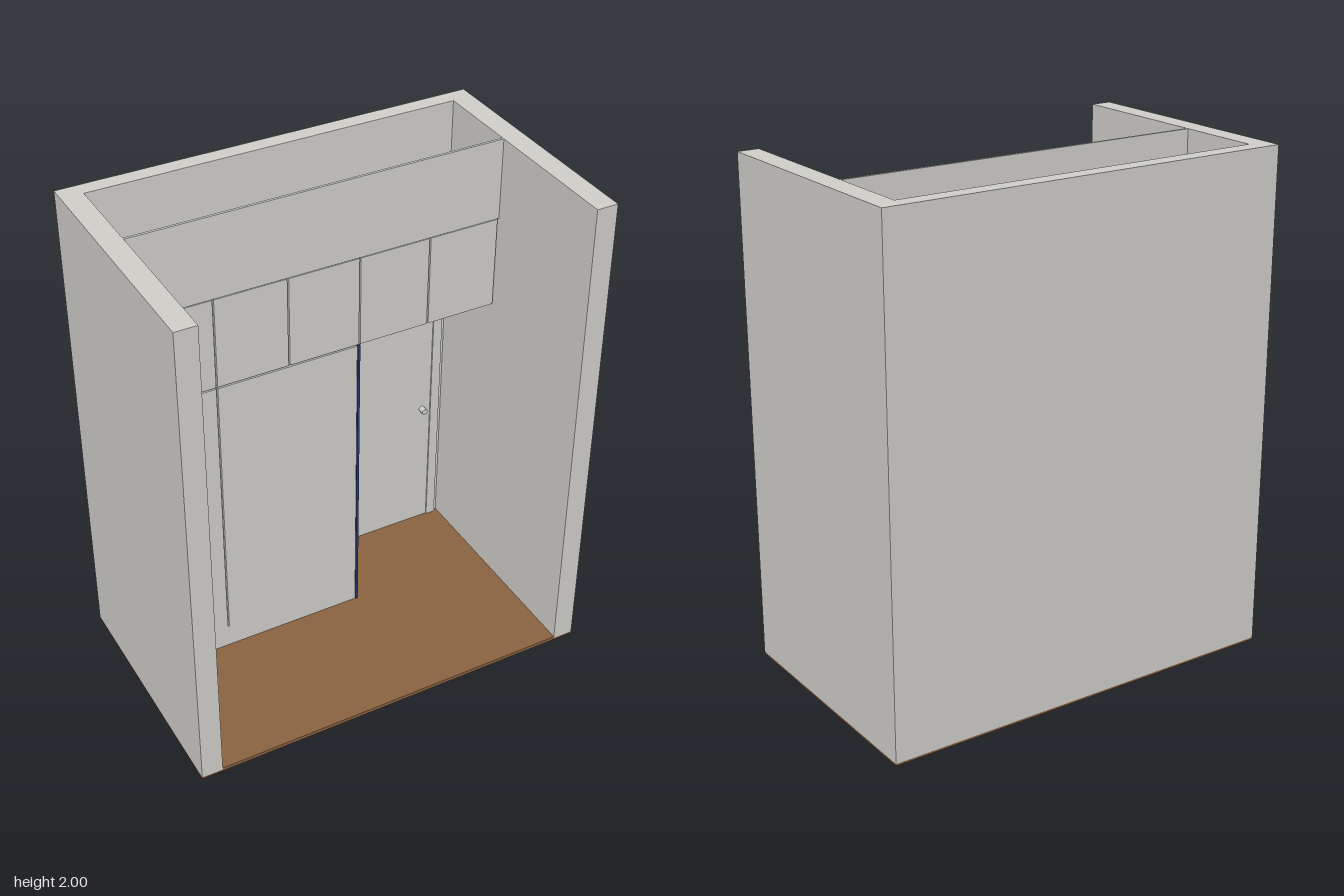
import * as THREE from 'three';

const mat = (name, color) => {
  const m = new THREE.MeshStandardMaterial({ color });
  m.name = name;
  return m;
};

export function createModel() {
  const room = new THREE.Group();
  room.name = 'roomWithWardrobe';
  const grey = mat('warmGrey', 0xd0cfca);
  const brown = mat('woodBrown', 0x8a6442);
  const blue = mat('navyBlue', 0x2b3a78);

  // Box given by its two opposite corners
  const box = (name, material, x0, x1, y0, y1, z0, z1, parent = room) => {
    const mesh = new THREE.Mesh(new THREE.BoxGeometry(x1 - x0, y1 - y0, z1 - z0), material);
    mesh.position.set((x0 + x1) / 2, (y0 + y1) / 2, (z0 + z1) / 2);
    mesh.name = name;
    parent.add(mesh);
    return mesh;
  };

  const W = 0.83, IN = 0.745, BACK = -0.435, FACE = -0.085;
  const FLOOR = 0.015, SPLIT = 1.29, TOP = 1.67, GAP = 0.003;

  // Room shell
  box('floorSlab', brown, -W, W, 0, 0.008, -0.5, 0.5);
  box('floorBoards', brown, -IN, IN, 0.008, FLOOR, BACK, 0.5);
  box('rightWall', grey, -W, -IN, 0.008, 2, -0.5, 0.5);
  box('leftWall', grey, IN, W, 0.008, 2, -0.5, 0.5);
  box('backWall', grey, -IN, IN, 0.008, 2, -0.5, BACK);

  // Wardrobe carcasses, plinth and fillers
  const wardrobe = new THREE.Group();
  wardrobe.name = 'wardrobe';
  room.add(wardrobe);
  box('lowerCarcass', grey, -0.73, 0.147, FLOOR, SPLIT, BACK, -0.097, wardrobe);
  box('upperCarcass', grey, -0.73, 0.743, SPLIT, TOP, BACK, -0.097, wardrobe);
  box('plinth', grey, -0.73, 0.145, FLOOR, 0.115, -0.097, FACE - 0.003, wardrobe);
  box('sideFiller', grey, -IN, -0.73, FLOOR, TOP, -0.095, FACE - 0.002, wardrobe);
  box('topFiller', grey, -IN, IN, TOP, 2, -0.095, FACE, wardrobe);
  box('bluePanel', blue, 0.147, 0.157, FLOOR, SPLIT, BACK, FACE, wardrobe);

  // Doors with narrow gaps between them
  const door = (name, x0, x1, y0, y1) =>
    box(name, grey, x0 + GAP, x1 - GAP, y0 + GAP, y1 - GAP, -0.097, FACE, wardrobe);
  for (let i = 0; i < 5; i++) {
    const x = -0.73 + i * 0.2945;
    door('upperDoor', x, x + 0.2945, SPLIT, TOP);
  }
  door('narrowLowerDoor', -0.73, -0.4355, 0.115, SPLIT);
  door('wideLowerDoor', -0.4355, 0.147, 0.115, SPLIT);

  // Room door on the back wall: frame, leaf and knob
  const entry = new THREE.Group();
  entry.name = 'entryDoor';
  room.add(entry);
  const fz = BACK + 0.012;
  box('frameSide', grey, 0.17, 0.205, FLOOR, 1.25, BACK, fz, entry);
  box('frameSide', grey, 0.69, 0.73, FLOOR, 1.25, BACK, fz, entry);
  box('frameHead', grey, 0.205, 0.69, 1.205, 1.25, BACK, fz, entry);
  box('doorLeaf', grey, 0.205, 0.69, FLOOR, 1.205, BACK, BACK + 0.006, entry);
  const knob = new THREE.Mesh(new THREE.CylinderGeometry(0.013, 0.013, 0.03, 16), grey);
  knob.rotation.x = Math.PI / 2;
  knob.position.set(0.65, 0.6, BACK + 0.02);
  knob.name = 'doorKnob';
  entry.add(knob);

  return room;
}
